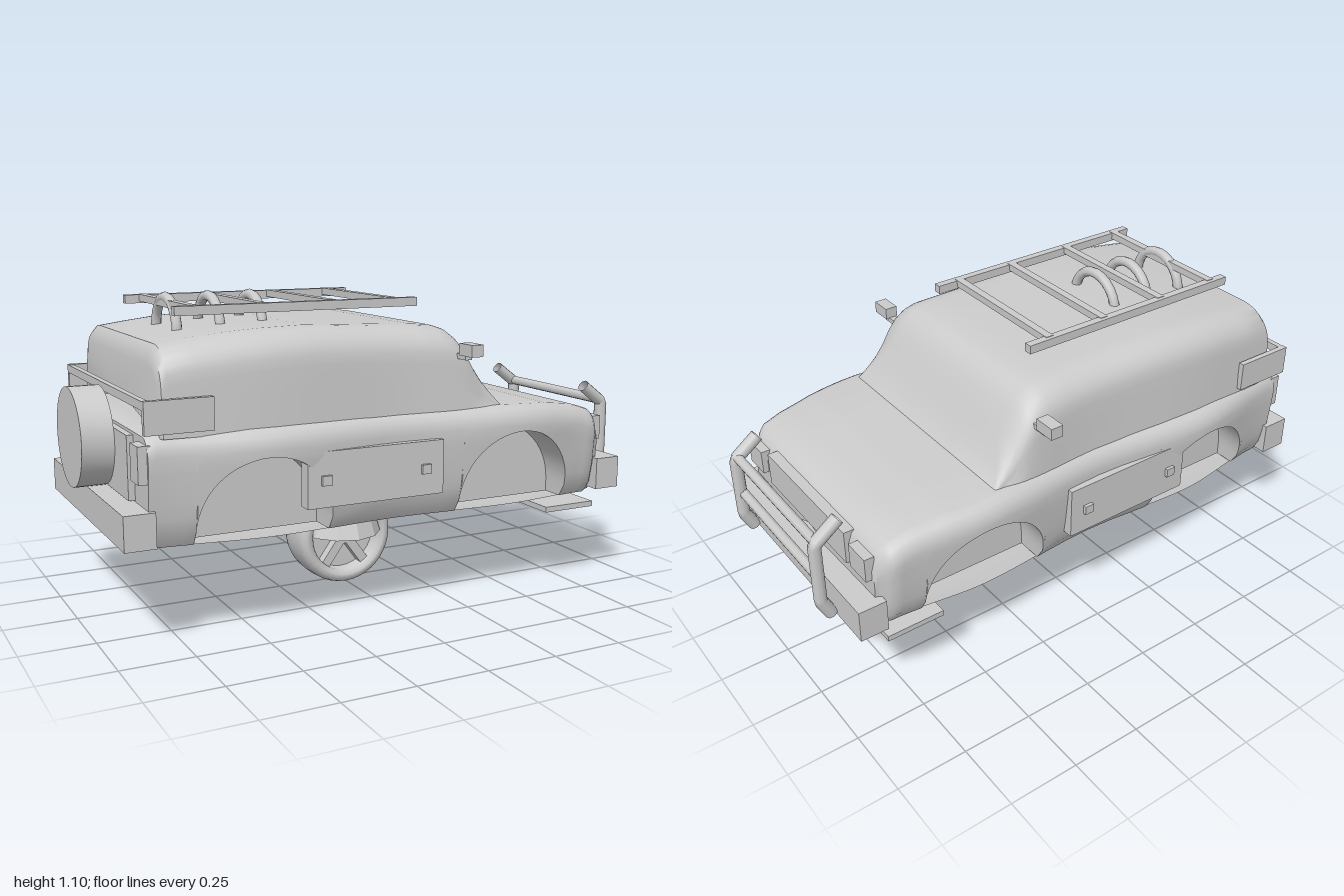
import * as THREE from 'three';
import { toCreasedNormals } from 'three/addons/utils/BufferGeometryUtils.js';

const grey = new THREE.MeshStandardMaterial({ color: 0xcccccc, side: THREE.DoubleSide });

function add(parent, name, geometry, x = 0, y = 0, z = 0) {
  const mesh = new THREE.Mesh(geometry, grey);
  mesh.name = name;
  mesh.position.set(x, y, z);
  parent.add(mesh);
  return mesh;
}

// Box given by its lower and upper corners.
function box(parent, name, [x0, y0, z0], [x1, y1, z1]) {
  return add(parent, name, new THREE.BoxGeometry(x1 - x0, y1 - y0, z1 - z0),
    (x0 + x1) / 2, (y0 + y1) / 2, (z0 + z1) / 2);
}

// Value from a list of [x, value] keys; eased keys act as gentle crests and dips.
function keyed(keys, x, eased = false) {
  if (x <= keys[0][0]) return keys[0][1];
  for (let i = 1; i < keys.length; i++) {
    const [x0, v0] = keys[i - 1], [x1, v1] = keys[i];
    if (x <= x1) {
      let t = (x - x0) / (x1 - x0);
      if (eased) t = t * t * (3 - 2 * t);
      return v0 + (v1 - v0) * t;
    }
  }
  return keys[keys.length - 1][1];
}

// Skin joining rings that have equal numbers of [x, y, z] points.
function loft(rings, crease = 0.6) {
  const n = rings[0].length, index = [];
  for (let i = 0; i < rings.length - 1; i++) {
    for (let j = 0; j < n - 1; j++) {
      const a = i * n + j, b = a + n;
      index.push(a, b, b + 1, a, b + 1, a + 1);
    }
  }
  const g = new THREE.BufferGeometry();
  g.setAttribute('position', new THREE.Float32BufferAttribute(rings.flat(2), 3));
  g.setIndex(index);
  return toCreasedNormals(g, crease);
}

const mirrored = (half) => [...half, ...half.slice(0, -1).reverse().map(([x, y, z]) => [x, y, -z])];
const collapsed = (ring, x, y, z) => ring.map(() => [x, y, z]);

// Lower body dimensions
const ARCHES = [-0.49, 0.46], ARCH_R = 0.23, ARCH_Y = 0.38, SILL = 0.335;
const bodyWidth = (x) => keyed([[-0.88, 0.45], [-0.45, 0.508], [0, 0.475], [0.45, 0.506], [0.8, 0.468], [0.85, 0.43]], x, true);
const bodyTop = (x) => keyed([[-0.87, 0.69], [-0.84, 0.7], [0.4, 0.7], [0.6, 0.69], [0.74, 0.672], [0.81, 0.648], [0.84, 0.62], [0.853, 0.585]], x);
const sideTaper = (y) => keyed([[0.33, 0.87], [0.36, 0.93], [0.45, 0.97], [0.6, 1]], y);
const skinZ = (x, y) => bodyWidth(x) * sideTaper(y);

function sillHeight(x) {
  for (const c of ARCHES) {
    const d = Math.abs(x - c);
    if (d <= ARCH_R + 1e-6) return ARCH_Y + Math.sqrt(Math.max(0, ARCH_R * ARCH_R - d * d));
  }
  return SILL;
}

function bodySection(x) {
  const top = bodyTop(x), low = sillHeight(x), shoulder = top - 0.07, half = [];
  for (let j = 0; j <= 6; j++) {
    const y = low + (shoulder - low) * j / 6;
    half.push([x, y, skinZ(x, y)]);
  }
  const w = skinZ(x, shoulder);
  for (let j = 1; j <= 5; j++) {
    const a = j / 5 * Math.PI / 2;
    half.push([x, shoulder + 0.07 * Math.sin(a), w * (0.88 + 0.12 * Math.cos(a))]);
  }
  half.push([x, top, w * 0.45], [x, top, 0]);
  return mirrored(half);
}

function buildBody(car) {
  const xs = [-0.87, -0.84, -0.8, -0.76, -0.1, 0, 0.1, 0.17, 0.73, 0.77, 0.8, 0.82, 0.84, 0.853];
  for (const c of ARCHES) {
    xs.push(c - ARCH_R - 0.0005, c + ARCH_R + 0.0005);
    for (let i = 0; i <= 24; i++) xs.push(c - ARCH_R * Math.cos(i / 24 * Math.PI));
  }
  xs.sort((a, b) => a - b);
  const rings = xs.map(bodySection);
  rings.unshift(collapsed(rings[0], -0.87, 0.5, 0));
  rings.push(collapsed(rings[0], 0.86, 0.5, 0));
  add(car, 'lowerBody', loft(rings));

  // Shallow curved floor
  add(car, 'floor', loft(xs.map((x) => {
    const w = skinZ(x, 0.33);
    return [[-1, SILL], [-0.8, 0.315], [-0.4, 0.298], [0, 0.29], [0.4, 0.298], [0.8, 0.315], [1, SILL]]
      .map(([k, y]) => [x, y, w * k]);
  })));

  // Wheel wells run inward from the arch edges
  for (const c of ARCHES) for (const s of [1, -1]) {
    const path = [[c + ARCH_R, SILL]];
    for (let i = 0; i <= 24; i++) {
      const a = i / 24 * Math.PI;
      path.push([c + ARCH_R * Math.cos(a), ARCH_Y + ARCH_R * Math.sin(a)]);
    }
    path.push([c - ARCH_R, SILL]);
    const outer = path.map(([x, y]) => [x, y, s * skinZ(x, y)]);
    const inner = path.map(([x, y]) => [x, y, s * 0.34]);
    const rings = [outer, inner, collapsed(inner, c, SILL, s * 0.34)];
    add(car, 'wheelWell', loft(s > 0 ? rings : rings.map((r) => [...r].reverse())));
  }
}

// Cabin with a rounded roof and a sloping windscreen
function buildCabin(car) {
  const width = (x) => keyed([[-0.83, 0.445], [-0.45, 0.463], [0, 0.44], [0.3, 0.456], [0.41, 0.456]], x, true);
  const roof = [[-0.825, 0.9], [-0.818, 0.94], [-0.8, 0.962], [-0.7, 0.975], [-0.58, 0.988], [-0.45, 0.996], [-0.3, 0.999],
    [-0.15, 0.993], [0, 0.988], [0.1, 0.984], [0.18, 0.978], [0.22, 0.965], [0.25, 0.943], [0.28, 0.905],
    [0.31, 0.855], [0.34, 0.8], [0.37, 0.75], [0.395, 0.715], [0.41, 0.698]];
  const rings = roof.map(([x, top]) => {
    const w = width(x) * (x < -0.82 ? 0.97 : 1), base = 0.685, r = Math.min(0.12, (top - base) * 0.8), half = [];
    for (let j = 0; j <= 3; j++) half.push([x, base + (top - r - base) * j / 3, w * (1 - 0.008 * j)]);
    for (let j = 1; j <= 7; j++) {
      const a = j / 7 * Math.PI / 2;
      half.push([x, top - r + r * Math.sin(a) ** 0.85, w * 0.976 - r * (1 - Math.cos(a))]);
    }
    half.push([x, top, w * 0.35], [x, top, 0]);
    return mirrored(half);
  });
  rings.unshift(collapsed(rings[0], -0.83, 0.78, 0));
  add(car, 'cabin', loft(rings, 0.7));
}

// Central road wheel with five spokes and a flared guard
function buildWheel(car) {
  const wheel = new THREE.Group();
  wheel.name = 'roadWheel';
  wheel.position.set(-0.012, 0.187, 0);
  const profile = [[0.135, -0.075], [0.15, -0.087], [0.165, -0.086], [0.178, -0.075], [0.184, -0.055], [0.187, 0],
    [0.184, 0.055], [0.178, 0.075], [0.165, 0.086], [0.15, 0.087], [0.135, 0.075], [0.13, 0], [0.135, -0.075]];
  add(wheel, 'tyre', new THREE.LatheGeometry(profile.map((p) => new THREE.Vector2(...p)), 40)).rotation.x = Math.PI / 2;
  add(wheel, 'rimDisc', new THREE.CylinderGeometry(0.132, 0.132, 0.06, 32)).rotation.x = Math.PI / 2;
  add(wheel, 'hub', new THREE.CylinderGeometry(0.035, 0.035, 0.14, 16)).rotation.x = Math.PI / 2;
  for (let i = 0; i < 5; i++) {
    const spoke = new THREE.Group();
    spoke.name = 'spoke';
    spoke.rotation.z = Math.PI / 2 + i * Math.PI * 0.4;
    box(spoke, 'spokeBar', [0.02, -0.017, -0.066], [0.135, 0.017, 0.066]);
    wheel.add(spoke);
  }
  car.add(wheel);
  const guard = new THREE.CylinderGeometry(0.15, 0.18, 0.085, 12, 1, true);
  guard.scale(0.86, 1, 1);
  add(car, 'wheelGuard', toCreasedNormals(guard, 0.3), -0.012, 0.235, 0);
}

function buildBullBar(car) {
  const tube = (name, pts, r) => {
    const path = new THREE.CurvePath();
    for (let i = 1; i < pts.length; i++) {
      path.add(new THREE.LineCurve3(new THREE.Vector3(...pts[i - 1]), new THREE.Vector3(...pts[i])));
    }
    add(car, name, new THREE.TubeGeometry(path, 24, r, 8));
  };
  for (const z of [-0.285, 0.285]) {
    tube('bullBarPost', [[0.89, 0.71, z], [0.977, 0.645, z], [0.977, 0.42, z], [0.945, 0.355, z]], 0.023);
  }
  tube('bullBarTop', [[0.97, 0.652, -0.285], [0.97, 0.652, 0.285]], 0.018);
  tube('bullBarMiddle', [[0.97, 0.507, -0.285], [0.97, 0.507, 0.285]], 0.018);
}

function buildRoof(car) {
  for (const z of [-0.27, 0.27]) box(car, 'rackRail', [-0.72, 1.04, z - 0.014], [0.155, 1.07, z + 0.014]);
  for (const x of [-0.655, -0.42, -0.165, 0.065]) box(car, 'rackCrossbar', [x - 0.014, 1.047, -0.27], [x + 0.014, 1.072, 0.27]);
  for (const x of [-0.655, -0.503, -0.35]) {
    const hoop = new THREE.TorusGeometry(0.112, 0.018, 8, 12, Math.PI);
    add(car, 'roofHoop', hoop, x, 0.967, 0).rotation.y = Math.PI / 2;
  }
}

export function createModel() {
  const car = new THREE.Group();
  car.name = 'offRoadCar';
  buildBody(car);
  buildCabin(car);
  buildWheel(car);
  buildBullBar(car);
  buildRoof(car);

  // Bumpers, skid plate, grille and spare wheel
  box(car, 'frontBumper', [0.832, 0.35, -0.455], [0.932, 0.465, 0.455]);
  box(car, 'rearBumper', [-0.955, 0.35, -0.455], [-0.852, 0.465, 0.455]);
  box(car, 'skidPlate', [0.62, 0.282, -0.44], [0.83, 0.302, 0.44]);
  box(car, 'underTray', [0.455, 0.272, -0.11], [0.53, 0.3, 0.11]);
  box(car, 'grille', [0.83, 0.51, -0.27], [0.868, 0.63, 0.27]);
  box(car, 'tailgatePanel', [-0.892, 0.47, -0.3], [-0.86, 0.68, 0.3]);
  box(car, 'rearTrim', [-0.885, 0.78, -0.46], [-0.865, 0.808, 0.46]);
  const spare = new THREE.CylinderGeometry(0.168, 0.168, 0.107, 32);
  add(car, 'spareWheel', toCreasedNormals(spare, 0.6), -0.9465, 0.63, 0).rotation.z = Math.PI / 2;

  // Fittings repeated on both sides
  for (const s of [1, -1]) {
    const side = (name, x0, x1, y0, y1, z0, z1) =>
      box(car, name, [x0, y0, Math.min(s * z0, s * z1)], [x1, y1, Math.max(s * z0, s * z1)]);
    side('doorPanel', -0.365, 0.14, 0.425, 0.61, 0.45, 0.5);
    for (const x of [-0.3, 0.07]) side('doorHandle', x - 0.017, x + 0.017, 0.5, 0.532, 0.49, 0.512);
    side('headlight', 0.84, 0.875, 0.53, 0.617, 0.31, 0.41);
    side('tailLight', -0.9, -0.86, 0.55, 0.67, 0.36, 0.44);
    side('rearQuarterPanel', -0.885, -0.662, 0.705, 0.81, 0.448, 0.468);
    side('mirror', 0.217, 0.262, 0.885, 0.926, 0.462, 0.54);
    side('mirrorArm', 0.225, 0.25, 0.87, 0.888, 0.43, 0.49);
  }
  return car;
}
